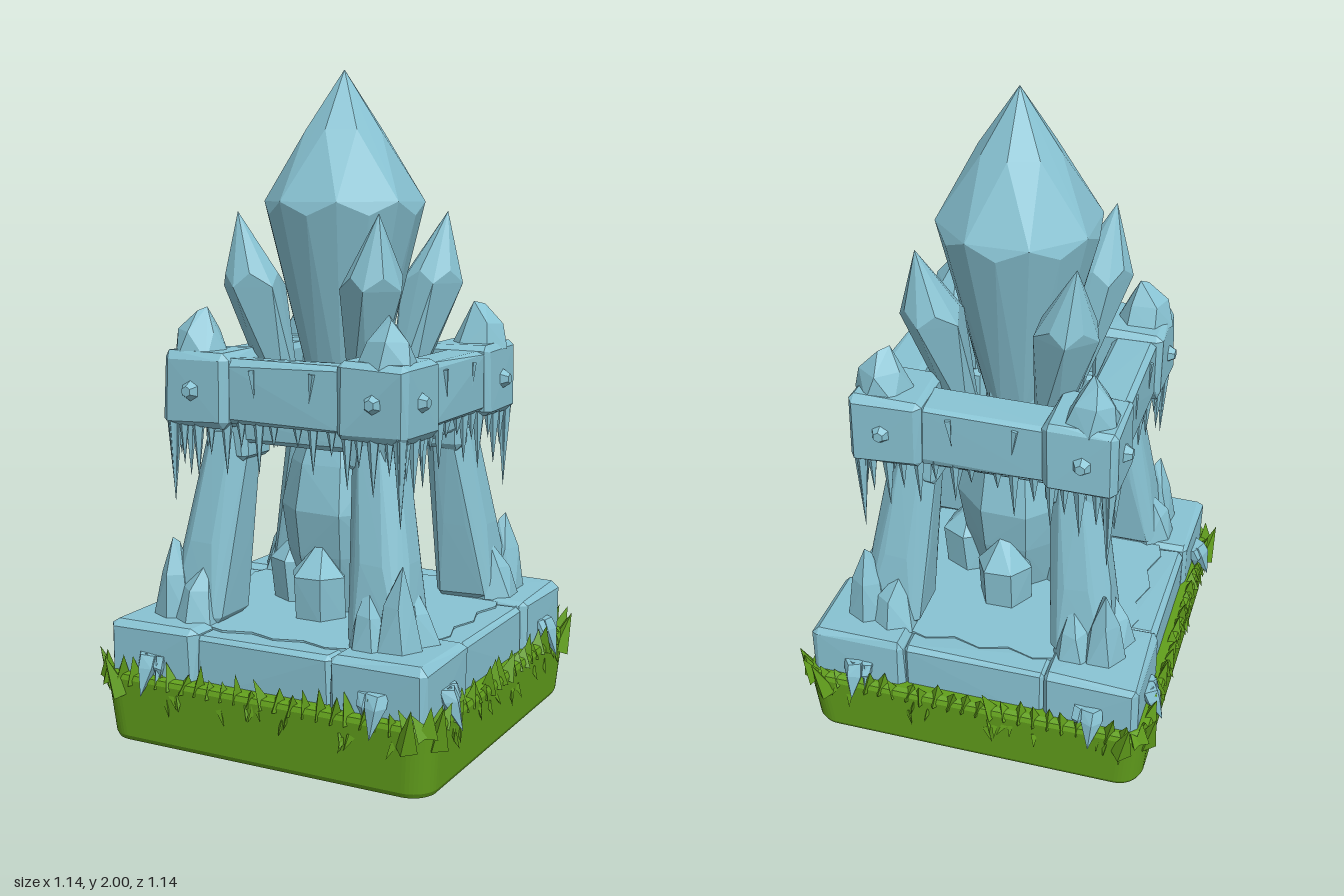
import * as THREE from 'three';
import { mergeGeometries } from 'three/addons/utils/BufferGeometryUtils.js';
import { ConvexGeometry } from 'three/addons/geometries/ConvexGeometry.js';

const V = (x, y, z) => new THREE.Vector3(x, y, z);

export function createModel() {
  const model = new THREE.Group();
  model.name = 'crystalShrine';
  const stone = new THREE.MeshStandardMaterial({ color: 0x88c3d3 });
  stone.name = 'ice blue stone';
  const grass = new THREE.MeshStandardMaterial({ color: 0x62a01c });
  grass.name = 'grass green';

  let seed = 7;
  const rand = () => (seed = (seed * 16807) % 2147483647) / 2147483647;
  const range = (a, b) => a + (b - a) * rand();

  const add = (parent, name, geometry, material = stone) => {
    const mesh = new THREE.Mesh(geometry, material);
    mesh.name = name;
    parent.add(mesh);
    return mesh;
  };

  // Faceted solid around a few points, slightly roughened
  const hull = (points, rough = 0.003) => new ConvexGeometry(points.map((p) =>
    V(p.x + range(-rough, rough), p.y + range(-rough, rough), p.z + range(-rough, rough))));

  // Chamfered, hand-cut stone block between two corners
  const block = (x0, x1, y0, y1, z0, z1, c = 0.014, rough = 0.003) => {
    const pts = [];
    for (const [x, sx] of [[x0, 1], [x1, -1]])
      for (const [y, sy] of [[y0, 1], [y1, -1]])
        for (const [z, sz] of [[z0, 1], [z1, -1]])
          pts.push(V(x + sx * c, y + sy * c, z), V(x + sx * c, y, z + sz * c), V(x, y + sy * c, z + sz * c));
    return hull(pts, rough);
  };

  // Ring of points around a vertical axis
  const ring = (cx, y, cz, r, n, turn = 0) => Array.from({ length: n }, (_, i) => {
    const a = turn + (i / n) * Math.PI * 2;
    return V(cx + Math.cos(a) * r, y, cz + Math.sin(a) * r);
  });

  // Pointed cone from a base point to a tip
  const spike = (base, tip, r, sides = 4) => {
    const dir = tip.clone().sub(base);
    const len = dir.length();
    let g = new THREE.ConeGeometry(r, len, sides).translate(0, len / 2, 0).toNonIndexed();
    g.deleteAttribute('uv');
    g.applyQuaternion(new THREE.Quaternion().setFromUnitVectors(V(0, 1, 0), dir.normalize()));
    g.translate(base.x, base.y, base.z);
    g.computeVertexNormals();
    return g;
  };

  // Grass slab: rounded square, narrower at the foot
  const h = 0.53, r = 0.06;
  const plan = new THREE.Shape();
  plan.absarc(h - r, h - r, r, 0, Math.PI / 2);
  plan.absarc(r - h, h - r, r, Math.PI / 2, Math.PI);
  plan.absarc(r - h, r - h, r, Math.PI, Math.PI * 1.5);
  plan.absarc(h - r, r - h, r, Math.PI * 1.5, Math.PI * 2);
  const slab = new THREE.ExtrudeGeometry(plan, {
    depth: 0.18, bevelThickness: 0.02, bevelSize: 0.02, bevelSegments: 2, curveSegments: 5 });
  slab.rotateX(-Math.PI / 2).translate(0, 0.02, 0);
  const pos = slab.attributes.position;
  for (let i = 0; i < pos.count; i++) {
    const k = 0.965 + 0.035 * Math.min(1, pos.getY(i) / 0.18);
    pos.setX(i, pos.getX(i) * k);
    pos.setZ(i, pos.getZ(i) * k);
  }
  slab.computeVertexNormals();
  add(model, 'grassSlab', slab, grass);

  // Plinth core and raised inner floor with a ragged edge
  add(model, 'plinthCore', block(-0.47, 0.47, 0.15, 0.345, -0.47, 0.47));
  const floor = new THREE.Shape();
  for (let s = 0; s < 4; s++)
    for (let i = 0; i < 10; i++) {
      const t = -0.43 + i * 0.086, d = i === 0 ? 0.43 : 0.425 + (i % 2 ? 0.015 : -0.012);
      const a = (s * Math.PI) / 2;
      const x = t * Math.cos(a) + d * Math.sin(a), y = t * Math.sin(a) - d * Math.cos(a);
      s + i ? floor.lineTo(x, y) : floor.moveTo(x, y);
    }
  add(model, 'innerFloor', new THREE.ExtrudeGeometry(floor, { depth: 0.03, bevelEnabled: false })
    .rotateX(-Math.PI / 2).translate(0, 0.332, 0));

  // Central crystal: lower bulb and tall upper point with a zigzag girdle
  const t8 = Math.PI / 8;
  add(model, 'lowerCrystal', hull([
    ...ring(0, 0.35, 0, 0.12, 8, t8), ...ring(0, 0.54, 0, 0.175, 8, t8),
    ...ring(0, 0.68, 0, 0.195, 8, t8), ...ring(0, 0.82, 0, 0.165, 8, t8), ...ring(0, 0.93, 0, 0.125, 8, t8)]));
  add(model, 'crystalNeck', new THREE.CylinderGeometry(0.1, 0.12, 0.2, 8).toNonIndexed().translate(0, 0.98, 0))
    .geometry.computeVertexNormals();
  add(model, 'upperCrystal', hull([
    ...ring(0, 0.98, 0, 0.09, 8, t8), ...ring(0, 1.61, 0, 0.245, 8, t8),
    ...ring(0, 1.57, 0, 0.238, 8), ...ring(0, 1.82, 0, 0.122, 8), V(0, 2, 0)], 0.001));

  // One quarter: the front side and its left corner, turned four times
  for (let k = 0; k < 4; k++) {
    const q = new THREE.Group();
    q.name = 'quarter' + (k + 1);
    q.rotation.y = (k * Math.PI) / 2;
    model.add(q);

    // Plinth stones
    add(q, 'plinthCorner', block(0.22, 0.52, 0.16, 0.372, 0.22, 0.52, 0.018, 0.005));
    add(q, 'plinthBeam', block(-0.225, 0.225, 0.16, 0.358, 0.4, 0.505, 0.014));

    // Claws hooked over the plinth corner
    const claws = [];
    for (const [x, y] of [[0.38, 0.165], [0.34, 0.21]]) {
      const w = x > 0.35 ? 0.034 : 0.02;
      for (const swap of [false, true]) {
        const top = [...ring(x, 0.285, 0.515, w, 5), ...ring(x, 0.25, 0.53, w, 5), V(x, y, 0.57 - (0.38 - x))];
        claws.push(hull(top.map((p) => (swap ? V(p.z, p.y, p.x) : p))));
      }
    }
    claws.push(...[-0.38, -0.34].map((x) => spike(V(x, 0.28, 0.52), V(x, 0.17 - 0.6 * (x + 0.38) + 0.05, 0.55), 0.02)));
    add(q, 'claws', mergeGeometries(claws));

    // Leaning pillar with rocks around its foot
    add(q, 'pillar', hull([
      ...block(0.215, 0.4, 0.36, 0.4, 0.215, 0.4, 0.02).attributes.position.array.reduce((o, v, i, a) => {
        if (i % 3 === 0 && a[i + 1] < 0.385) o.push(V(v, a[i + 1], a[i + 2]));
        return o;
      }, []),
      ...ring(0.285, 0.6, 0.285, 0.1, 8, t8), ...ring(0.245, 0.93, 0.245, 0.08, 8, t8)]));
    add(q, 'footRock', hull([...ring(0.375, 0.36, 0.375, 0.07, 6), ...ring(0.378, 0.5, 0.378, 0.045, 5),
      V(0.385, 0.61, 0.385), V(0.365, 0.59, 0.37)], 0.005));
    for (const [x, z] of [[0.29, 0.385], [0.385, 0.29]])
      add(q, 'sideRock', hull([...ring(x, 0.36, z, 0.075, 6), ...ring(x, 0.46, z, 0.045, 5),
        V(x - 0.02, 0.55, z - 0.02)], 0.006));

    // Bracket ring beneath the upper frame
    add(q, 'pillarCap', block(0.165, 0.315, 0.845, 0.97, 0.165, 0.315, 0.018, 0.005));
    add(q, 'bracketBeam', block(-0.19, 0.19, 0.9, 0.98, 0.22, 0.3, 0.012));

    // Upper frame
    add(q, 'frameCorner', block(0.18, 0.402, 0.95, 1.172, 0.18, 0.402, 0.018, 0.005));
    add(q, 'frameBeam', block(-0.2, 0.2, 0.965, 1.155, 0.25, 0.383, 0.015, 0.005));
    add(q, 'cornerRock', hull([...ring(0.305, 1.15, 0.315, 0.092, 6, 0.4), ...ring(0.312, 1.23, 0.325, 0.062, 5),
      V(0.3, 1.3, 0.3), V(0.325, 1.285, 0.325)], 0.005));

    // Studs on both outer faces of the corner
    for (const side of [0, 1]) {
      const stud = new THREE.CylinderGeometry(0.016, 0.034, 0.03, 6).toNonIndexed();
      stud.rotateX(Math.PI / 2).translate(side ? -0.3 : 0.3, 1.06, 0.41);
      if (side) stud.rotateY(Math.PI / 2);
      stud.computeVertexNormals();
      add(q, 'stud', stud);
    }

    // Icicles below the frame and thin slivers on its face
    const ice = [];
    for (const [x, tip, w] of [[0.375, 0.71, 0.024], [0.34, 0.84, 0.018], [0.29, 0.78, 0.022], [0.245, 0.87, 0.018],
      [0.2, 0.79, 0.02], [0.15, 0.88, 0.018], [0.09, 0.82, 0.018], [0.04, 0.91, 0.018]])
      for (const s of [1, -1]) {
        const z = x > 0.21 ? 0.375 : 0.36;
        ice.push(spike(V(s * x, 0.98, z), V(s * x, tip + range(-0.01, 0.02), z), w, 5));
      }
    for (const x of [-0.1, 0.1])
      ice.push(spike(V(x, 1.13, 0.383), V(x * 0.9, 1.045, 0.386), 0.012, 4));
    add(q, 'icicles', mergeGeometries(ice));

    // Tilted crystal on the diagonal and a short one at the bulb's foot
    add(q, 'sideCrystal', hull([...ring(0.13, 1.0, 0.13, 0.045, 5, 0.785), ...ring(0.2, 1.36, 0.2, 0.098, 5, 0.15),
      ...ring(0.205, 1.4, 0.205, 0.082, 5, 0.78), V(0.235, 1.58, 0.235)], 0.002));
    add(q, 'footCrystal', hull([...ring(0, 0.35, 0.155, 0.085, 6), ...ring(0, 0.49, 0.165, 0.088, 6),
      V(-0.015, 0.575, 0.17), V(0.015, 0.575, 0.165)], 0.003));

    // Grass blades along the rim, tufts on the side and at the corner
    const blades = [];
    for (let i = 0; i < 24; i++) {
      const x = -0.52 + (i * 1.04) / 23;
      blades.push(spike(V(x, 0.19, 0.53), V(x + range(-0.025, 0.025), range(0.235, 0.285), 0.545 + range(-0.015, 0.012)),
        range(0.024, 0.034), 3));
    }
    for (let i = 0; i < 14; i++) {
      const x = range(-0.48, 0.48), y = range(0.12, 0.18);
      blades.push(spike(V(x, y + 0.02, 0.54), V(x + range(-0.03, 0.03), y - 0.025, 0.556), 0.012, 3));
    }
    for (const [x, z] of [[0.505, 0.572], [0.572, 0.505]])
      blades.push(spike(V(x * 0.94, 0.15, z * 0.94), V(x, 0.275, z), 0.035, 4));
    add(q, 'grassBlades', mergeGeometries(blades), grass);
  }
  return model;
}
